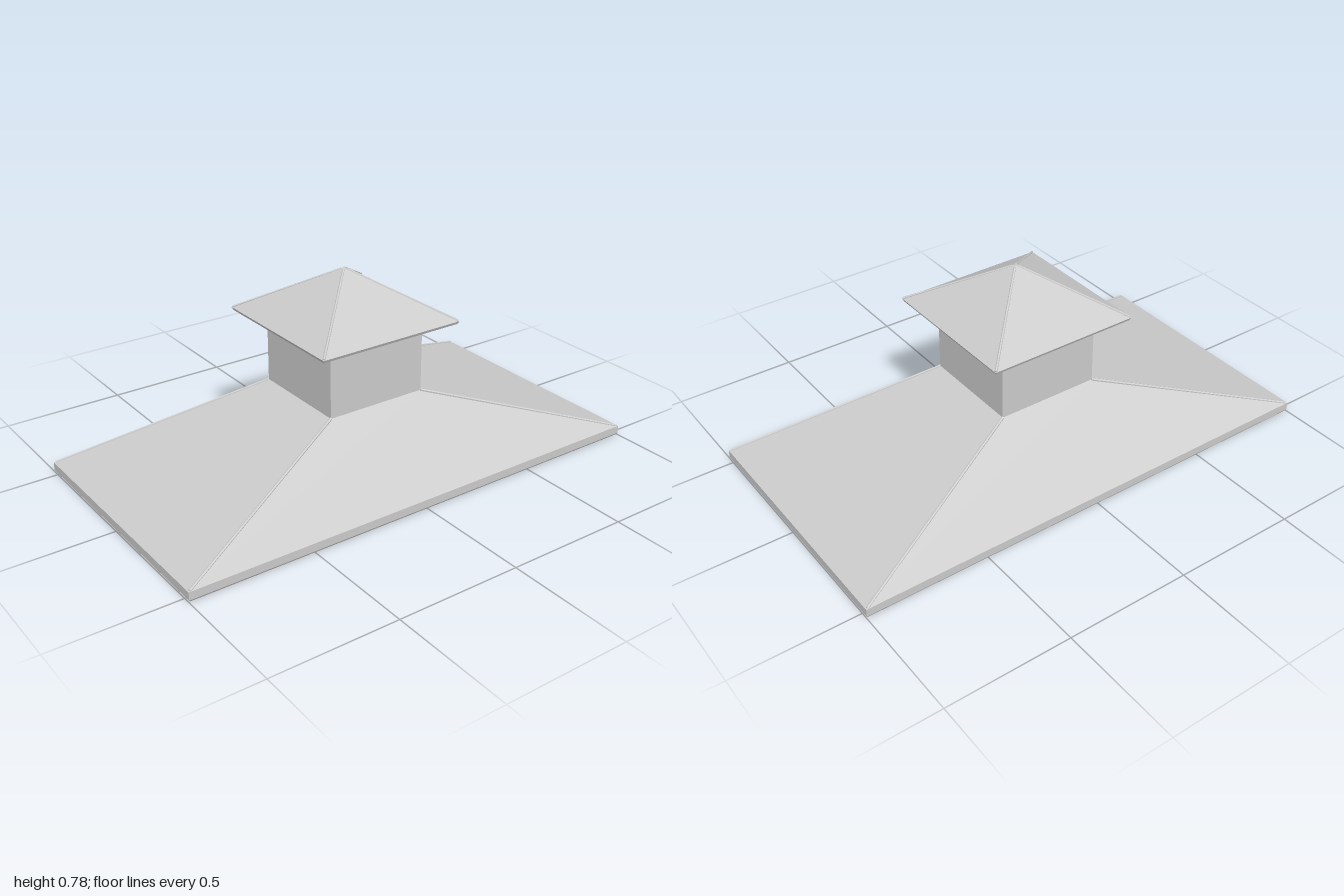
import * as THREE from 'three';

const material = new THREE.MeshStandardMaterial({ color: 0xcccccc, flatShading: true, side: THREE.DoubleSide });

// Rectangular ring of half width hx, height y, half depth hz
const ring = ([hx, y, hz = hx]) =>
  [[1, 1], [1, -1], [-1, -1], [-1, 1]].map(([sx, sz]) => new THREE.Vector3(sx * hx, y, sz * hz));

// Skin successive rectangular rings
function loft(name, profile) {
  const rings = profile.map(ring);
  const points = [];
  for (let i = 0; i < rings.length - 1; i++) {
    const lo = rings[i], hi = rings[i + 1];
    for (let j = 0; j < 4; j++) {
      const k = (j + 1) % 4;
      points.push(lo[j], lo[k], hi[k], lo[j], hi[k], hi[j]);
    }
  }
  const geometry = new THREE.BufferGeometry().setFromPoints(points);
  geometry.computeVertexNormals();
  const mesh = new THREE.Mesh(geometry, material);
  mesh.name = name;
  return mesh;
}

// Thin rods joining the corners of two rings
function rods(name, from, to, radius) {
  const group = new THREE.Group();
  group.name = name;
  const ends = ring(to);
  ring(from).forEach((start, i) => {
    const span = ends[i].clone().sub(start);
    const rod = new THREE.Mesh(new THREE.CylinderGeometry(radius, radius, span.length(), 6), material);
    rod.name = 'rod';
    rod.position.copy(start).addScaledVector(span, 0.5);
    rod.quaternion.setFromUnitVectors(new THREE.Vector3(0, 1, 0), span.normalize());
    group.add(rod);
  });
  return group;
}

export function createModel() {
  const model = new THREE.Group();
  model.name = 'hippedRoofWithCupola';

  // Lower roof: thin sloping shell resting on a flat rectangular eave frame
  model.add(loft('lowerRoof', [
    [0.21, 0.29], [0.97, 0.038, 0.518], [0.885, 0.038, 0.415], [0.885, 0, 0.415],
    [0.995, 0, 0.525], [1, 0.008, 0.53], [1, 0.04, 0.53], [0.21, 0.302], [0.21, 0.29],
  ]));
  model.add(rods('lowerHips', [0.993, 0.041, 0.525], [0.21, 0.302], 0.006));

  // Crossed ties at the foot of the neck
  model.add(rods('neckTies', [0.21, 0.292], [0, 0.292], 0.003));

  // Square hollow neck
  model.add(loft('neck', [
    [0.203, 0.29], [0.211, 0.29], [0.211, 0.59], [0.203, 0.59], [0.203, 0.29],
  ]));

  // Cap roof: small thin pyramid on an overhanging eave frame
  model.add(loft('capRoof', [
    [0.002, 0.77], [0.29, 0.596], [0.203, 0.596], [0.203, 0.584],
    [0.304, 0.585], [0.31, 0.597], [0.012, 0.779], [0.002, 0.782],
  ]));
  model.add(rods('capHips', [0.306, 0.599], [0.008, 0.779], 0.005));

  return model;
}
